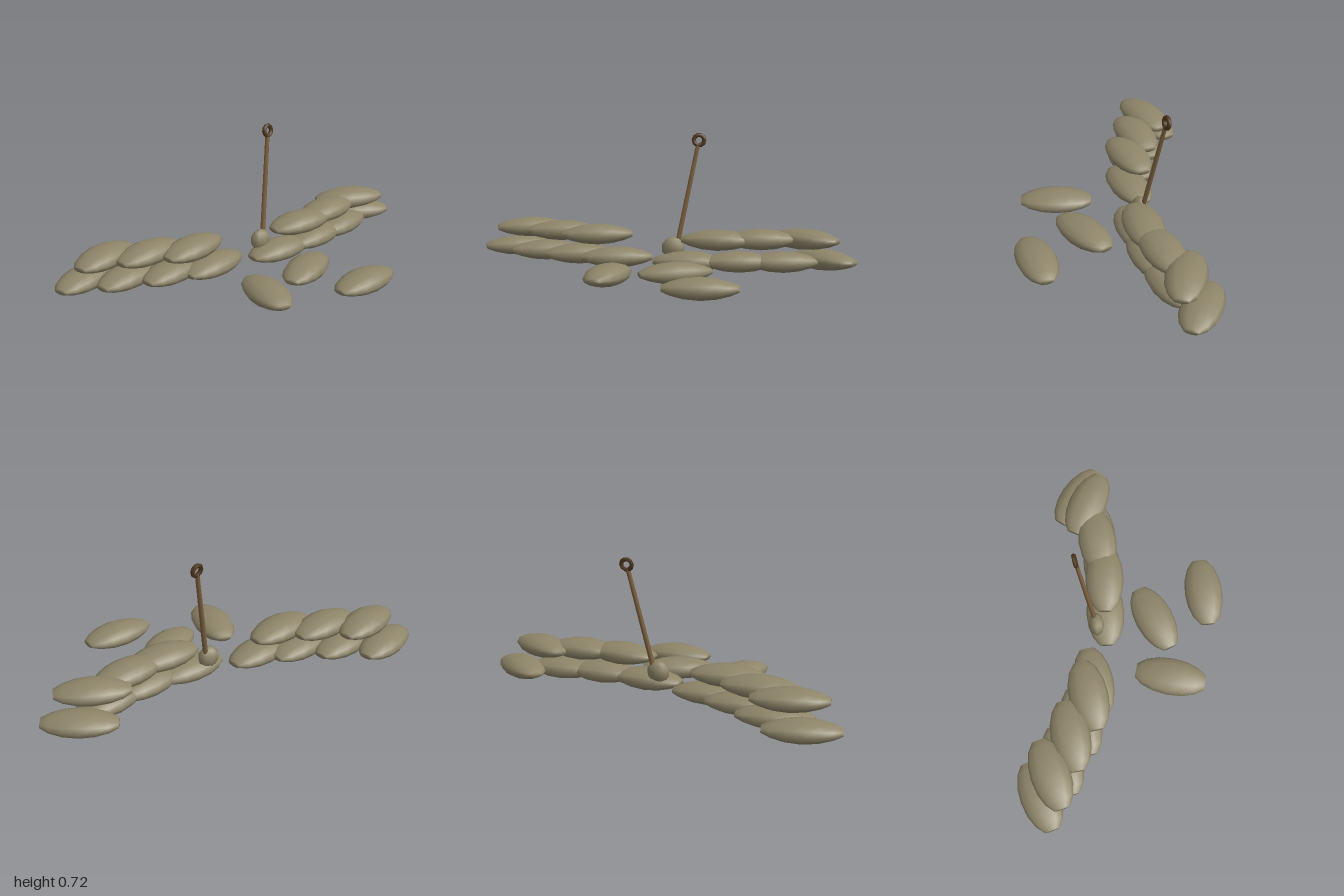
import * as THREE from 'three';
import { mergeVertices } from 'three/addons/utils/BufferGeometryUtils.js';

const material = (name, color) => {
  const m = new THREE.MeshStandardMaterial({ color });
  m.name = name;
  return m;
};

// Stuffed sack: a long sphere with blunt ends that thin out in height
function sackGeometry() {
  let g = new THREE.SphereGeometry(1, 12, 8).rotateZ(Math.PI / 2);
  g.deleteAttribute('uv');
  g.deleteAttribute('normal');
  g = mergeVertices(g, 1e-4);
  const p = g.attributes.position;
  for (let i = 0; i < p.count; i++) {
    const x = THREE.MathUtils.clamp(p.getX(i) / 0.924, -1, 1);
    p.setXYZ(i, x * 0.181, p.getY(i) * 0.054 * (1 - 0.3 * x * x), p.getZ(i) * 0.1);
  }
  g.computeVertexNormals();
  return g;
}

export function createModel() {
  const model = new THREE.Group();
  model.name = 'sandbagBarricade';
  const cloth = material('sackcloth', 0x8e8569);
  const wood = material('wood', 0x7d6140);
  const iron = material('darkBrown', 0x50381f);
  const sack = sackGeometry();

  const add = (parent, name, geometry, mat, x, y, z) => {
    const mesh = new THREE.Mesh(geometry, mat);
    mesh.name = name;
    mesh.position.set(x, y, z);
    parent.add(mesh);
    return mesh;
  };

  // Each sack: x, y, z, turn in degrees
  const sacks = {
    rightWall: [
      [-0.83, 0.086, -0.37, 26], [-0.64, 0.085, -0.275, 20],
      [-0.43, 0.087, -0.2, 19], [-0.215, 0.085, -0.155, 17],
      [-0.74, 0.199, -0.32, 24], [-0.54, 0.2, -0.24, 16], [-0.325, 0.198, -0.17, 18],
    ],
    leftWall: [
      [0.17, 0.083, -0.13, 8], [0.42, 0.087, -0.165, 15],
      [0.635, 0.086, -0.22, 17], [0.827, 0.087, -0.33, -27],
      [0.315, 0.197, -0.145, 6], [0.525, 0.2, -0.2, 14], [0.735, 0.199, -0.272, -18],
    ],
    looseSacks: [
      [-0.152, 0.07, 0.235, 83], [0.16, 0.074, 0.128, 31], [0.335, 0.058, 0.38, 11],
    ],
  };
  for (const [name, list] of Object.entries(sacks)) {
    const group = new THREE.Group();
    group.name = name;
    model.add(group);
    list.forEach(([x, y, z, turn], i) => {
      add(group, `sack${i + 1}`, sack, cloth, x, y, z).rotation.y = THREE.MathUtils.degToRad(turn);
    });
  }

  // Small clump holding the foot of the pole
  const clump = add(model, 'poleClump', new THREE.SphereGeometry(1, 8, 5), cloth, 0.08, 0.142, -0.168);
  clump.scale.set(0.06, 0.058, 0.042);
  clump.rotation.y = 0.2;

  // Leaning pole
  const foot = new THREE.Vector3(0.097, 0.14, -0.175);
  const tip = new THREE.Vector3(0.188, 0.67, -0.263);
  const axis = tip.clone().sub(foot);
  const middle = foot.clone().add(tip).multiplyScalar(0.5);
  const pole = add(model, 'pole', new THREE.CylinderGeometry(0.011, 0.013, axis.length(), 6), wood, ...middle);
  pole.quaternion.setFromUnitVectors(new THREE.Vector3(0, 1, 0), axis.normalize());

  // Ring at the top of the pole
  const ring = add(model, 'poleRing', new THREE.TorusGeometry(0.027, 0.011, 6, 10), iron, 0.192, 0.69, -0.267);
  ring.rotation.set(-0.15, 0.28, 0);

  return model;
}
